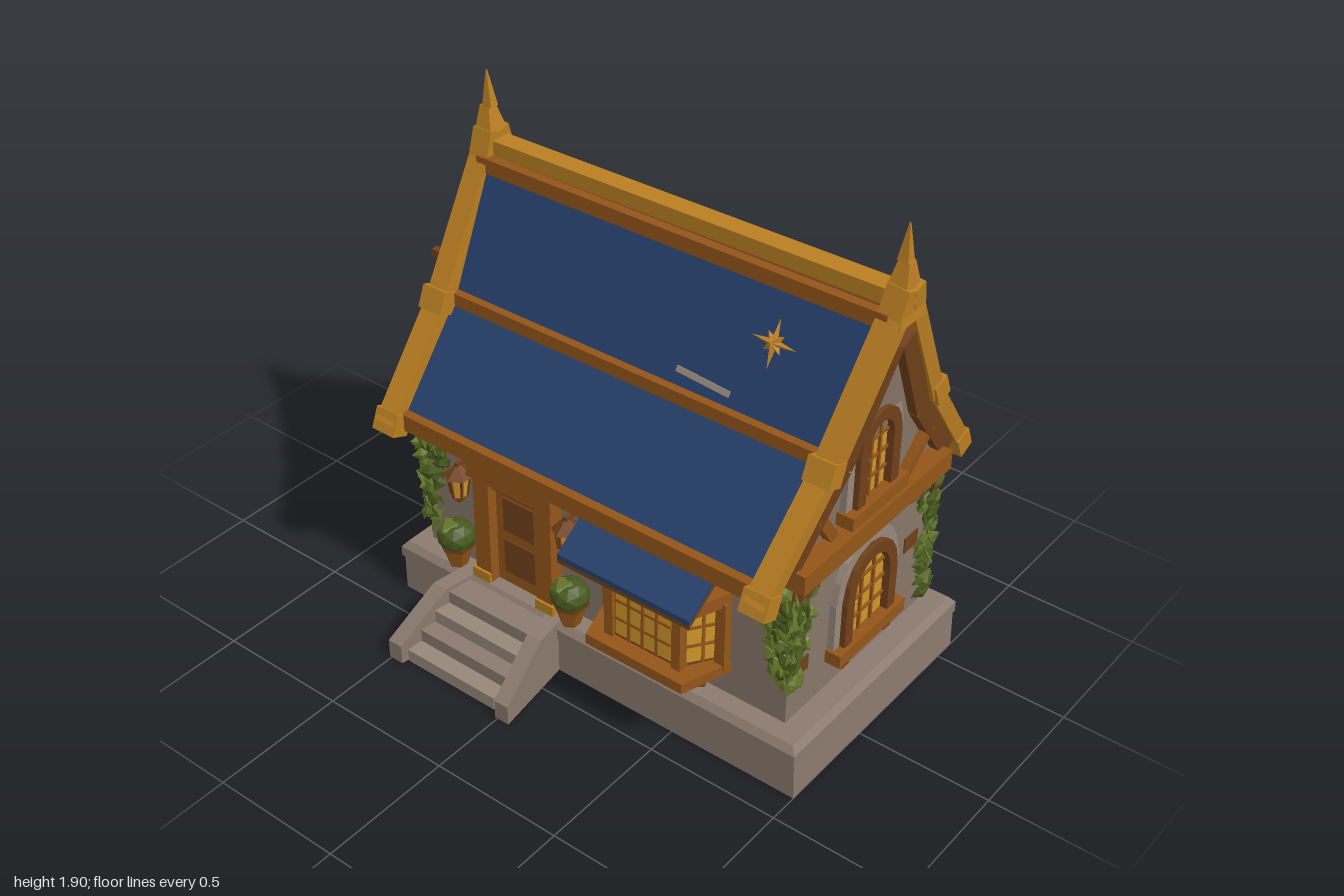
import * as THREE from 'three';
import { mergeGeometries } from 'three/addons/utils/BufferGeometryUtils.js';
import { ConvexGeometry } from 'three/addons/geometries/ConvexGeometry.js';

const paint = (name, color) => Object.assign(new THREE.MeshStandardMaterial({ color }), { name });
const CZ = -0.11; // ridge line in z

export function createModel() {
  const root = new THREE.Group();
  root.name = 'cottage';
  const blue = paint('roof blue', 0x27406b), gold = paint('gold trim', 0xb97e22);
  const wood = paint('warm wood', 0x935519), dark = paint('dark wood', 0x70401a);
  const plaster = paint('plaster', 0x88766a), stone = paint('stone', 0x8b7a6e);
  const pale = paint('pale stone', 0x97877a), glass = paint('lit glass', 0xcf9529);
  const leaf = paint('leaf green', 0x64752a), shade = paint('deep leaf green', 0x46571c);

  let seed = 7;
  const rnd = () => (seed = (seed * 16807) % 2147483647) / 2147483647;

  // ---- helpers: every mesh gets faceted normals
  const add = (name, geo, mat, parent = root) => {
    const g = geo.index ? geo.toNonIndexed() : geo;
    g.computeVertexNormals();
    const m = new THREE.Mesh(g, mat);
    m.name = name;
    parent.add(m);
    return m;
  };
  const group = (name, x, y, z, ry = 0, parent = root) => {
    const g = new THREE.Group();
    g.name = name;
    g.position.set(x, y, z);
    g.rotation.y = ry;
    parent.add(g);
    return g;
  };
  const hull = (name, mat, pts, parent) =>
    add(name, new ConvexGeometry(pts.map(p => new THREE.Vector3(...p))), mat, parent);
  const box = (name, mat, x0, x1, y0, y1, z0, z1, parent) => {
    const m = add(name, new THREE.BoxGeometry(x1 - x0, y1 - y0, z1 - z0), mat, parent);
    m.position.set((x0 + x1) / 2, (y0 + y1) / 2, (z0 + z1) / 2);
    return m;
  };
  const beam = (name, mat, a, b, w, d, parent) => {
    const A = new THREE.Vector3(...a), B = new THREE.Vector3(...b), dir = B.clone().sub(A);
    const m = add(name, new THREE.BoxGeometry(w, dir.length(), d), mat, parent);
    m.position.copy(A).add(B).multiplyScalar(0.5);
    m.quaternion.setFromUnitVectors(new THREE.Vector3(0, 1, 0), dir.normalize());
    return m;
  };
  // plan outline in x,z raised from y0 to y1
  const slab = (name, mat, plan, y0, y1, parent) =>
    hull(name, mat, plan.flatMap(([x, z]) => [[x, y0, z], [x, y1, z]]), parent);
  const star = (r, h, mat, parent) => {
    const g = new THREE.ConeGeometry(1, h, 16, 1);
    const p = g.attributes.position;
    for (let i = 0; i < p.count; i++) {
      const k = Math.round(Math.atan2(p.getX(i), p.getZ(i)) / (Math.PI / 8)) & 15;
      const s = r * (k % 4 === 0 ? 1 : k % 2 ? 0.3 : 0.52);
      p.setXYZ(i, p.getX(i) * s, p.getY(i), p.getZ(i) * s);
    }
    return add('star', g.rotateX(Math.PI / 2), mat, parent);
  };
  const arch = (w, h, P = THREE.Shape) => {
    const s = new P(), r = w / 2, t = h - r * 1.1;
    s.moveTo(-r, 0); s.lineTo(r, 0); s.lineTo(r, t);
    s.quadraticCurveTo(r * 0.9, h * 0.97, 0, h);
    s.quadraticCurveTo(-r * 0.9, h * 0.97, -r, t);
    s.lineTo(-r, 0);
    return s;
  };
  const plate = (name, mat, shape, depth, parent) =>
    add(name, new THREE.ExtrudeGeometry(shape, { depth, bevelEnabled: false, curveSegments: 4 }), mat, parent);

  // ---- foundation and steps
  hull('foundation', stone, [[-0.73, 0], [1, 0], [-0.73, 0.15], [0.995, 0.15]]
    .flatMap(([x, y]) => [[x, y, 0.39], [x, y, -0.585]]));
  hull('foundationLip', stone, [[0, 0.15], [0, 0.19], [0.02, 0.215]].flatMap(([i, y]) =>
    [[-0.735 + i, y, 0.4 - i], [1 - i, y, 0.4 - i], [-0.735 + i, y, -0.59 + i], [1 - i, y, -0.59 + i]]));
  for (let i = 0; i < 4; i++) box('step', i % 2 ? stone : pale, -0.44, -0.04, 0, 0.05 * (i + 1), 0.38, 0.685 - i * 0.065);
  for (const s of [-1, 1]) {
    const x = (o, z) => -0.23 + s * (o + (z - 0.4) * 0.14);
    hull('stairWall', stone, [[0.38, 0], [0.38, 0.215], [0.5, 0.215], [0.71, 0.075], [0.71, 0]]
      .flatMap(([z, y]) => [[x(0.175, z), y, z], [x(0.235, z), y, z]]));
  }

  // ---- walls and gables
  slab('walls', plaster, [[-0.66, 0.31], [0.9, 0.31], [0.9, -0.53], [-0.66, -0.53]], 0.2, 0.8);
  const rx = y => 0.875 + (y - 0.8) * 0.1;
  const gable = [[0.43, 0.8], [0.21, 1.14], [0.02, 1.55]];
  for (let i = 0; i < 2; i++) hull('gableWall', plaster, [gable[i], gable[i + 1]].flatMap(([h, y]) =>
    [-h, h].flatMap(z => [[-0.66, y, CZ + z], [rx(y), y, CZ + z]])));
  // exposed brick patches
  for (const [x, y, w, h] of [[-0.55, 0.72, 0.06, 0.05], [-0.43, 0.4, 0.05, 0.04], [0.78, 0.66, 0.05, 0.04]])
    box('brickPatch', dark, x, x + w, y, y + h, 0.305, 0.315);
  for (const [z, y] of [[0.2, 0.69], [0.24, 0.38], [-0.4, 0.5], [-0.42, 0.7], [0.1, 0.72]])
    for (const x of [-0.66, 0.9]) box('brickPatch', dark, x - 0.005, x + 0.005, y, y + 0.06, z - 0.04, z + 0.04);

  // ---- roof
  const prof = [[0.54, 0.81], [0.25, 1.17], [0.06, 1.6]];
  for (const s of [-1, 1]) {
    const pt = (h, y) => [[-0.68, y, CZ + s * h], [rx(y), y, CZ + s * h]];
    for (let i = 0; i < 2; i++) {
      const [a, b] = [prof[i], prof[i + 1]];
      const layer = (n, m, o, t) => hull(n, m, [a, b].flatMap(([h, y]) =>
        [...pt(h - o, y - o * 0.7), ...pt(h - o - t, y - (o + t) * 0.7)]));
      layer('roofPanel', blue, 0, 0.02);
      layer('roofBoards', dark, 0.02, 0.02);
    }
    const rail = (n, m, h, y, w, d) => beam(n, m, pt(h, y)[0], pt(h, y)[1], w, d);
    rail('eaveBeam', wood, 0.535, 0.805, 0.065, 0.035);
    rail('middleRail', wood, 0.25, 1.165, 0.05, 0.045);
    rail('ridgeBoard', wood, 0.062, 1.595, 0.055, 0.035);
    for (let x = -0.58; x < 0.86; x += 0.11)
      beam('rafterEnd', dark, [x, 0.74, CZ + s * 0.4], [x, 0.77, CZ + s * 0.51], 0.045, 0.05);

    // swept rake trims with knuckles at both gables
    const rake = [[0.575, 0.79], [0.295, 1.15], [0.145, 1.42], [0.045, 1.6], [0.015, 1.7]];
    for (const end of [-1, 1]) {
      const X = y => end > 0 ? rx(y) : -0.68;
      for (let i = 0; i < 4; i++) beam('rakeTrim', gold, [X(rake[i][1]), rake[i][1], CZ + s * rake[i][0]],
        [X(rake[i + 1][1]), rake[i + 1][1], CZ + s * rake[i + 1][0]], 0.08, 0.06);
      for (const [h, y, a] of [[0.56, 0.8, 0.035], [0.3, 1.165, 0.035]]) {
        const k = beam('rakeKnuckle', gold, [X(y), y - 0.045, CZ + s * (h + a / 2)], [X(y), y + 0.04, CZ + s * (h - a / 2)], 0.1, 0.07);
        k.scale.y = 0.9;
      }
      // inner timber framing of the gable
      const F = y => X(y) + (end > 0 ? 0.008 : 0.006);
      for (let i = 0; i < 2; i++) {
        const [a, b] = [[[0.47, 0.82], [0.22, 1.13], [0.03, 1.5]][i], [[0.47, 0.82], [0.22, 1.13], [0.03, 1.5]][i + 1]];
        beam('gableRafter', dark, [F(a[1]), a[1], CZ + s * a[0]], [F(b[1]), b[1], CZ + s * b[0]], 0.05, 0.075);
      }
      beam('gableBrace', wood, [F(0.85), 0.85, CZ + s * 0.21], [F(1), 1, CZ + s * 0.32], 0.05, 0.04);
      beam('beamBracket', dark, [F(0.68) + end * 0.03, 0.7, CZ + s * 0.4], [F(0.8) + end * 0.03, 0.79, CZ + s * 0.38], 0.05, 0.06);
    }
  }
  beam('ridgeBeam', gold, [-0.7, 1.645, CZ], [0.96, 1.655, CZ], 0.055, 0.075);
  for (const [x, lean] of [[-0.68, -0.01], [0.955, 0.005]]) {
    hull('spire', gold, [[0.045, 1.58, 0.075], [0.036, 1.69, 0.045], [0.02, 1.77, 0.022], [0.002, 1.91, 0.002]]
      .slice(0, 2).flatMap(([a, y, c]) => [[x - a, y, CZ - c], [x + a, y, CZ - c], [x - a, y, CZ + c], [x + a, y, CZ + c]]));
    for (const [a, y, c, d, y2, f] of [[0.036, 1.69, 0.042, 0.02, 1.78, 0.018], [0.02, 1.78, 0.018, 0.002, 1.905, 0.002]])
      hull('spireTip', gold, [[a, y, c, 0], [d, y2, f, lean]].flatMap(([w, h, q, o]) =>
        [[x + o - w, h, CZ - q], [x + o + w, h, CZ - q], [x + o - w, h, CZ + q], [x + o + w, h, CZ + q]]));
  }
  const roofStar = star(0.135, 0.04, gold, group('roofStar', 0.6, 1.42, 0.035));
  roofStar.rotation.x = -0.43;
  const scratch = box('roofScratch', pale, 0.29, 0.5, 1.225, 1.245, 0.112, 0.12);
  scratch.rotation.set(-0.43, 0, -0.06);

  // ---- arched gable windows
  const archWindow = (x, y, w, h, end) => {
    const g = group('archWindow', x, y, -0.1, end * Math.PI / 2);
    const ring = (n, m, a, b, c, d, depth) => {
      const s = arch(a, b);
      s.holes.push(arch(c, d, THREE.Path));
      plate(n, m, s, depth, g);
    };
    ring('stoneArch', pale, w + 0.16, h + 0.09, w + 0.06, h + 0.035, 0.03);
    ring('windowFrame', dark, w + 0.09, h + 0.045, w, h, 0.05);
    plate('windowGlass', glass, arch(w + 0.01, h + 0.005), 0.022, g);
    for (const i of [-1, 1]) box('mullion', wood, i * w / 6 - 0.005, i * w / 6 + 0.005, 0, h * 0.9, 0.015, 0.032, g);
    for (let i = 1; i < 4; i++) box('glazingBar', wood, -w / 2, w / 2, h * i / 4 - 0.005, h * i / 4 + 0.005, 0.015, 0.03, g);
    box('windowSill', wood, -w / 2 - 0.09, w / 2 + 0.09, -0.045, 0.005, 0, 0.065, g);
    for (const i of [-1, 1]) box('sillBracket', dark, i * w * 0.6 - 0.02, i * w * 0.6 + 0.02, -0.09, -0.04, 0, 0.045, g);
  };
  for (const end of [-1, 1]) {
    archWindow(end > 0 ? 0.895 : -0.66, 0.375, 0.21, 0.3, end);
    archWindow(end > 0 ? 0.885 : -0.66, 0.915, 0.145, 0.285, end);
    const x = end > 0 ? 0.91 : -0.67;
    box('gableBeam', wood, x - 0.045, x + 0.04, 0.775, 0.85, CZ - 0.43, CZ + 0.43);
  }

  // ---- door
  const door = group('door', -0.215, 0.215, 0.31);
  box('doorPanel', wood, -0.11, 0.11, 0, 0.45, 0, 0.02, door);
  for (const y of [0.05, 0.23]) box('doorInset', dark, -0.07, 0.07, y, y + 0.14, 0.015, 0.025, door);
  box('doorTransom', dark, -0.11, 0.11, 0.4, 0.44, 0, 0.04, door);
  for (const s of [-1, 1]) {
    box('doorPost', wood, s * 0.14 - 0.035, s * 0.14 + 0.035, 0, 0.45, 0, 0.06, door);
    box('doorPostFoot', gold, s * 0.145 - 0.04, s * 0.145 + 0.04, 0, 0.04, 0, 0.07, door);
  }
  box('doorLintel', wood, -0.19, 0.19, 0.44, 0.5, 0, 0.075, door);

  // ---- lanterns and planters either side of the door
  for (const x of [-0.46, 0.03]) {
    const l = group('lantern', x, 0.58, 0.365);
    add('lanternGlass', new THREE.CylinderGeometry(0.04, 0.028, 0.09, 6), glass, l);
    add('lanternCap', new THREE.ConeGeometry(0.055, 0.05, 6), dark, l).position.y = 0.065;
    add('lanternBase', new THREE.CylinderGeometry(0.032, 0.012, 0.03, 6), wood, l).position.y = -0.058;
    for (let i = 0; i < 6; i++) {
      const a = i * Math.PI / 3;
      beam('lanternBar', dark, [0.028 * Math.sin(a), -0.045, 0.028 * Math.cos(a)], [0.041 * Math.sin(a), 0.045, 0.041 * Math.cos(a)], 0.008, 0.008, l);
    }
    box('lanternArm', dark, -0.008, 0.008, 0.075, 0.092, -0.055, 0.01, l);
    const p = group('planter', x < 0 ? -0.49 : 0.035, 0.215, 0.36);
    add('pot', new THREE.CylinderGeometry(0.06, 0.035, 0.085, 6), wood, p).position.y = 0.043;
    add('potRim', new THREE.CylinderGeometry(0.066, 0.064, 0.02, 6), dark, p).position.y = 0.09;
    const bush = add('bush', new THREE.IcosahedronGeometry(0.072, 1), shade, p);
    bush.position.y = 0.125;
    bush.scale.y = 0.85;
    add('bushTop', new THREE.IcosahedronGeometry(0.055, 0), leaf, p).position.set(-0.012, 0.14, 0.012);
  }

  // ---- bay window with awning
  const bay = group('bayWindow', 0.42, 0, 0.31);
  const plan = (b, f, d) => [[-b, -0.01], [b, -0.01], [f, d], [-f, d]];
  slab('bayBody', dark, plan(0.23, 0.14, 0.13), 0.34, 0.62, bay);
  slab('baySill', wood, plan(0.265, 0.2, 0.19), 0.315, 0.355, bay);
  slab('bayHead', wood, plan(0.26, 0.19, 0.17), 0.595, 0.645, bay);
  const pane = (w, x, z, ry) => {
    const g = group('bayPane', x, 0.365, z, ry, bay);
    box('bayGlass', glass, -w / 2, w / 2, 0.005, 0.225, -0.002, 0.006, g);
    const n = Math.round(w / 0.06);
    for (let i = 1; i < n; i++) box('bayMullion', wood, -w / 2 + w * i / n - 0.005, -w / 2 + w * i / n + 0.005, 0, 0.23, 0, 0.012, g);
    for (const y of [0.075, 0.15]) box('bayBar', wood, -w / 2, w / 2, y - 0.005, y + 0.005, 0, 0.011, g);
  };
  pane(0.23, 0, 0.13, 0);
  for (const s of [-1, 1]) {
    pane(0.11, s * 0.185, 0.06, s * 0.965);
    box('bayPost', wood, s * 0.14 - 0.018, s * 0.14 + 0.018, 0.34, 0.61, 0.105, 0.145, bay);
    box('bayWallPost', wood, s * 0.235 - 0.02, s * 0.235 + 0.02, 0.34, 0.61, 0, 0.035, bay);
    beam('bayBracket', dark, [s * 0.15, 0.235, 0.01], [s * 0.15, 0.32, 0.13], 0.045, 0.05, bay);
  }
  const awn = (n, m, dy, t) => hull(n, m, [-0.3, 0.24].flatMap(x => [0, -t].flatMap(q =>
    [[x, 0.785 + dy + q, 0.02], [x, 0.655 + dy + q, 0.21]])), bay);
  awn('awning', blue, 0, 0.02);
  awn('awningBoards', dark, -0.02, 0.015);

  // ---- hanging banner on the left gable
  const banner = group('banner', -0.86, 0, -0.125);
  beam('bannerPole', dark, [-0.14, 1.095, 0], [0.2, 1.085, 0], 0.03, 0.03, banner);
  const cloth = (n, m, w, top, side, tip, d) => {
    const s = new THREE.Shape([[-w, top], [w, top], [w, side + 0.03], [w * 0.75, side], [0.02, tip], [-w * 0.6, side + 0.02], [-w, side - 0.01]]
      .map(p => new THREE.Vector2(...p)));
    plate(n, m, s, d, banner).position.z = -d / 2;
  };
  cloth('bannerBorder', gold, 0.1, 1.085, 0.68, 0.575, 0.008);
  cloth('bannerBand', pale, 0.082, 1.08, 0.71, 0.635, 0.012);
  cloth('bannerCloth', blue, 0.078, 1.08, 0.745, 0.67, 0.016);
  for (const s of [-1, 1]) {
    const m = star(0.06, 0.012, gold, banner);
    m.position.set(0, 0.91, s * 0.013);
    if (s < 0) m.rotation.y = Math.PI;
  }

  // ---- ivy on the four corners
  for (const [x, z, y0] of [[-0.64, 0.31, 0.3], [0.89, 0.31, 0.36], [0.89, -0.49, 0.24], [-0.64, -0.49, 0.24]]) {
    const sx = Math.sign(x), sz = Math.sign(z), sets = [[], []];
    for (let i = 0; i < 90; i++) {
      const t = rnd(), out = 0.012 + rnd() * 0.02, along = rnd() * (0.05 + 0.07 * t), onSide = rnd() < 0.5;
      const g = new THREE.OctahedronGeometry(0.026 + rnd() * 0.012).scale(1, 1.25, 0.4);
      g.rotateX(rnd() * 1.2 - 0.6).rotateZ(rnd() * 3).rotateY((onSide ? Math.PI / 2 : 0) + rnd() - 0.5);
      g.translate(x + sx * (onSide ? out + 0.01 : 0.02 - along), y0 + 0.03 + t * (0.73 - y0), z + sz * (onSide ? 0.02 - along : out));
      sets[i % 2].push(g);
    }
    sets.forEach((s, i) => add('ivy', mergeGeometries(s), i ? leaf : shade));
  }
  return root;
}
